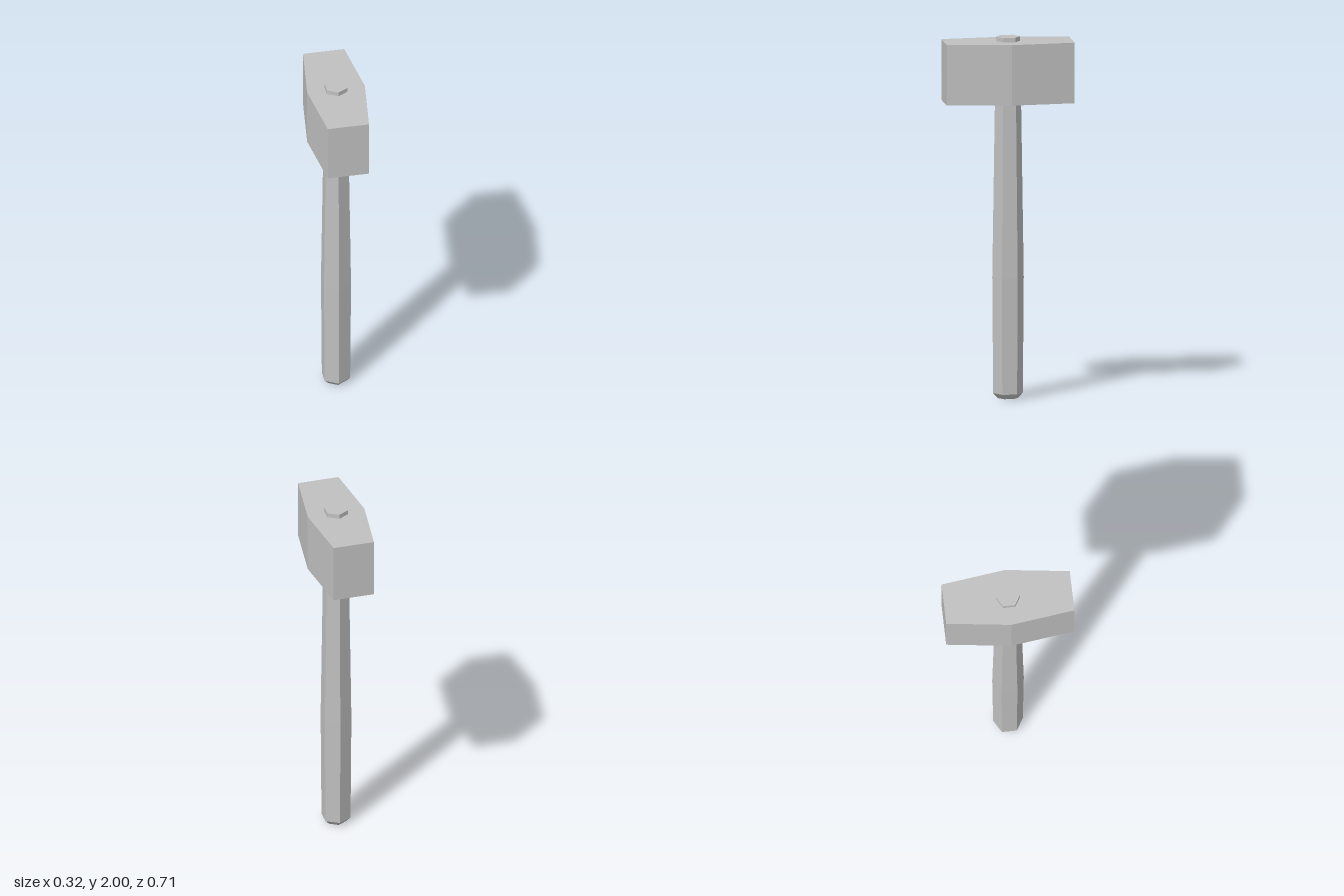
import * as THREE from 'three';

export function createModel() {
  const group = new THREE.Group();
  group.name = 'sledgehammer';
  const grey = new THREE.MeshStandardMaterial({ color: 0xc0c0c0 });
  grey.name = 'plain grey';

  const addPart = (name, geometry) => {
    // separate the faces so that every facet is flat
    const flat = geometry.index ? geometry.toNonIndexed() : geometry;
    flat.computeVertexNormals();
    const mesh = new THREE.Mesh(flat, grey);
    mesh.name = name;
    group.add(mesh);
  };

  // Six-sided handle: chamfered butt, swelling grip, tip above the head
  const profile = [
    [0, 0], [0.055, 0], [0.082, 0.028], [0.087, 0.67], [0.067, 2], [0, 2],
  ].map(([r, y]) => new THREE.Vector2(r, y));
  addPart('handle', new THREE.LatheGeometry(profile, 6));

  // Head: six-cornered plan, widest at the handle, with flat striking faces
  const bottom = 1.64, top = 1.975;
  const plan = new THREE.Shape([
    [0.115, -0.353], [0.161, 0], [0.115, 0.353],
    [-0.115, 0.353], [-0.161, 0], [-0.115, -0.353],
  ].map(([x, z]) => new THREE.Vector2(x, z)));
  const head = new THREE.ExtrudeGeometry(plan, { depth: top - bottom, bevelEnabled: false });
  head.rotateX(-Math.PI / 2).translate(0, bottom, 0);
  addPart('head', head);

  return group;
}
